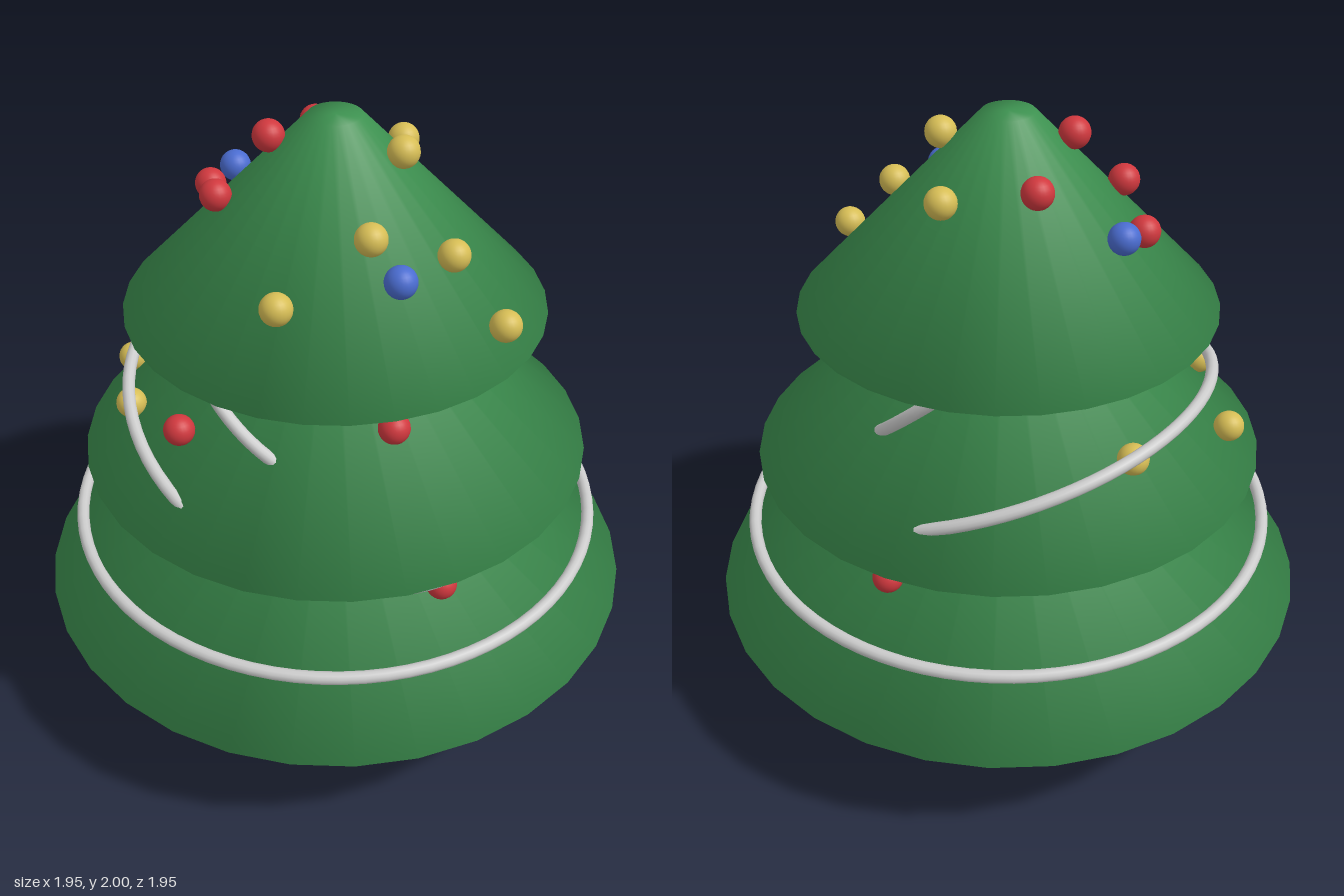
import * as THREE from 'three';

const paint = (color) => new THREE.MeshStandardMaterial({ color });

export function createModel() {
  const tree = new THREE.Group();
  tree.name = 'decoratedTree';
  const add = (name, geometry, material, x = 0, y = 0, z = 0) => {
    const mesh = new THREE.Mesh(geometry, material);
    mesh.name = name;
    mesh.position.set(x, y, z);
    tree.add(mesh);
    return mesh;
  };

  // Trunk
  add('trunk', new THREE.CylinderGeometry(0.08, 0.08, 0.4, 32), paint(0x6f4e2c), 0, 0.2, 0);

  // Three closed, softly shaded foliage cones: bottom radius, bottom y, top y
  const green = paint(0x3d9150);
  [
    ['lowerFoliage', 0.975, 0.37, 1.0],
    ['middleFoliage', 0.81, 0.885, 1.54],
    ['upperFoliage', 0.65, 1.39, 2.0],
  ].forEach(([name, radius, bottom, top]) => {
    const profile = [[0, bottom], [radius, bottom], [0.08, top], [0, top]];
    const points = profile.map(([r, y]) => new THREE.Vector2(r, y));
    add(name, new THREE.LatheGeometry(points, 32), green);
  });

  // Garland hoops: radius, centre height, slope along x, slope along z
  const silver = paint(0xcccccc);
  const forward = new THREE.Vector3(0, 0, 1);
  [
    ['lowerGarland', 0.85, 0.615, 0, 0],
    ['middleGarland', 0.68, 0.945, -0.34, -0.167],
    ['upperGarland', 0.53, 1.257, -0.788, -0.43],
  ].forEach(([name, radius, y, slopeX, slopeZ]) => {
    const hoop = add(name, new THREE.TorusGeometry(radius, 0.02, 12, 80), silver, 0, y, 0);
    const axis = new THREE.Vector3(-slopeX, 1, -slopeZ).normalize();
    hoop.quaternion.setFromUnitVectors(forward, axis);
  });

  // Baubles, grouped by colour
  const ball = new THREE.SphereGeometry(0.048, 24, 16);
  const baubles = {
    redBauble: [0xd0383e, [
      [-0.19, 1.93, 0.02], [-0.34, 1.76, 0.08], [-0.4, 1.69, -0.12], [-0.095, 1.86, -0.245],
      [0.23, 1.23, 0.425], [-0.415, 1.14, 0.405],
      [0, 0.83, 0.46], [0.395, 0.69, 0.485], [0.34, 0.69, -0.52],
    ]],
    yellowBauble: [0xd6bd55, [
      [0.2, 1.915, 0.04], [0.14, 1.775, 0.3], [0.365, 1.685, 0.2], [-0.1, 1.63, 0.46],
      [0.525, 1.505, 0.265], [0.175, 1.82, -0.24],
      [-0.07, 1.325, -0.37], [-0.7, 1.02, -0.12], [-0.62, 1.07, 0.2], [-0.39, 1.125, -0.46],
    ]],
    blueBauble: [0x4a6cd0, [
      [0.23, 1.68, 0.355], [-0.34, 1.71, -0.21], [0.36, 1.32, -0.11],
      [0.46, 0.805, 0.16], [0.545, 0.735, 0.175],
    ]],
  };
  for (const [name, [color, spots]] of Object.entries(baubles)) {
    const material = paint(color);
    spots.forEach((spot) => add(name, ball, material, ...spot));
  }
  return tree;
}
